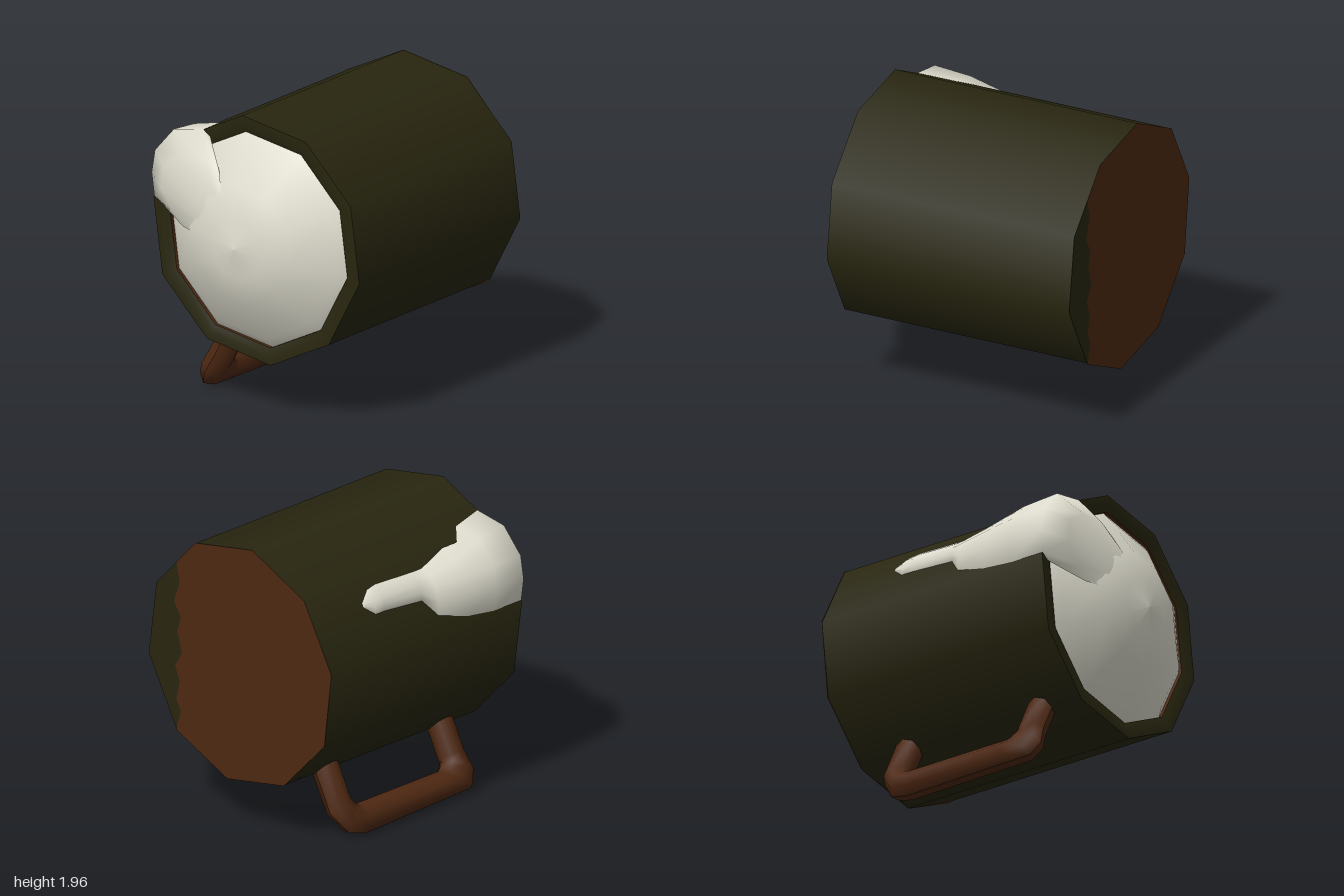
import * as THREE from 'three';

const mat = (name, color, side = THREE.FrontSide) => {
  const m = new THREE.MeshStandardMaterial({ color, side });
  m.name = name;
  return m;
};
const CY = 1.146, R = 0.82, RAD = Math.PI / 180;

// ten-sided lathe whose axis runs along z; points are [radius, z]
function barrel(points) {
  const g = new THREE.LatheGeometry(points.map(p => new THREE.Vector2(...p)), 10, 7.8 * RAD);
  return g.rotateX(Math.PI / 2).translate(0, CY, 0);
}

// surface through a row of equal-length cross-sections
function loft(rings) {
  const n = rings[0].length, index = [];
  for (let i = 0; i < rings.length - 1; i++)
    for (let j = 0; j < n - 1; j++) {
      const a = i * n + j, b = a + n;
      index.push(a, b, a + 1, b, b + 1, a + 1);
    }
  const g = new THREE.BufferGeometry();
  g.setAttribute('position', new THREE.Float32BufferAttribute(rings.flat(2), 3));
  g.setIndex(index);
  g.computeVertexNormals();
  return g;
}

// distance from the axis to the ten-sided wall at an angle in degrees
function wallRadius(deg) {
  const off = (((deg - 151.8 + 18) % 36) + 36) % 36 - 18;
  return R * Math.cos(18 * RAD) / Math.cos(off * RAD);
}

export function createModel() {
  const group = new THREE.Group();
  const green = mat('dark green', 0x28260f);
  const brown = mat('brown', 0x4e2812, THREE.DoubleSide);
  const white = mat('foam white', 0xdedccd, THREE.DoubleSide);
  const add = (name, geo, material) => {
    const mesh = new THREE.Mesh(geo, material);
    mesh.name = name;
    group.add(mesh);
  };

  // mug body, lying on its side
  add('body', barrel([[R, -1], [R, 0.75]]), green);
  add('rim', barrel([[R, 0.75], [0.765, 0.75], [0.71, 0.73]]), green);
  add('innerWall', barrel([[0.71, 0.73], [0.71, 0.55]]), brown);
  add('base', barrel([[0, -0.996], [R, -0.996]]), green);

  // brown base plate with a ragged edge on one side
  const outline = [
    [0.39, 1.87], [-0.11, 1.96], [-0.57, 1.74], [-0.81, 1.3], [-0.75, 0.79],
    [-0.39, 0.42], [0.11, 0.33], [0.56, 0.54], [0.52, 0.68], [0.56, 0.75], [0.53, 0.88],
    [0.57, 0.98], [0.51, 1.08], [0.55, 1.22], [0.52, 1.32], [0.58, 1.42], [0.53, 1.56], [0.56, 1.69]
  ];
  const plate = new THREE.ShapeGeometry(
    new THREE.Shape(outline.map(([x, y]) => new THREE.Vector2(-x, y))));
  add('basePlate', plate.rotateY(Math.PI).translate(0, 0, -1), brown);

  // foam dome filling the mouth
  add('foamDome', barrel([[0.715, 0.7], [0.65, 0.755], [0.39, 0.92], [0.2, 0.97], [0, 1]]), white);

  // foam spilling over the rim: z, start / crest / end angle, crest radius
  const stations = [
    [-0.54, 144, 145, 146, 0.788], [-0.46, 139, 145, 151, 0.81], [-0.38, 138, 145, 151, 0.82],
    [-0.05, 139, 146, 153, 0.82], [0.04, 139, 149, 162, 0.85], [0.27, 134, 150, 167, 0.89],
    [0.5, 126, 150, 169, 0.92], [0.75, 122, 150, 169, 0.92]
  ];
  const profile = [null, 0, 0.65, 1, 0.65, 0, null];
  const polar = (r, deg, z) => [r * Math.cos(deg * RAD), CY + r * Math.sin(deg * RAD), z];
  const spill = stations.map(([z, a, c, b, crest]) => {
    const angles = [a - 2, a, (a + c) / 2, c, (c + b) / 2, b, b + 2];
    const h = crest - wallRadius(c);
    return angles.map((deg, i) =>
      polar(wallRadius(deg) + (profile[i] === null ? -0.06 : profile[i] * h), deg, z));
  });
  // front of the spill folds back onto the dome
  const ends = [115, 122, 136, 148, 159, 169, 176];
  spill.push(ends.map((d, i) => polar([0.5, 0.6, 0.72, 0.77, 0.72, 0.58, 0.5][i], d, 0.862)));
  spill.push(ends.map(d => polar(0.34, d, 0.928)));
  add('foamSpill', loft(spill), white);

  // handle: each section gives inner z, inner reach, outer z, outer reach
  const sections = [
    [0.34, 0, 0.52, 0], [0.34, 0.28, 0.52, 0.28], [0.34, 0.3, 0.55, 0.43],
    [0.29, 0.35, 0.5, 0.53], [0.27, 0.355, 0.3, 0.535], [-0.48, 0.355, -0.48, 0.555],
    [-0.51, 0.34, -0.61, 0.515], [-0.53, 0.3, -0.71, 0.36], [-0.53, 0, -0.71, 0]
  ];
  const SIDES = 8;
  const handle = sections.map(([zi, di, zo, dO]) => {
    const ring = [];
    for (let k = 0; k <= SIDES; k++) {
      const t = k / SIDES * Math.PI * 2, c = Math.cos(t), s = Math.sin(t) * 0.09;
      const d = (di + dO) / 2 + c * (dO - di) / 2;
      const z = (zi + zo) / 2 + c * (zo - zi) / 2;
      ring.push([-0.36 - 0.45 * d + 0.89 * s, 0.5 - 0.89 * d - 0.45 * s, z]);
    }
    return ring;
  });
  add('handle', loft(handle), brown);

  return group;
}
